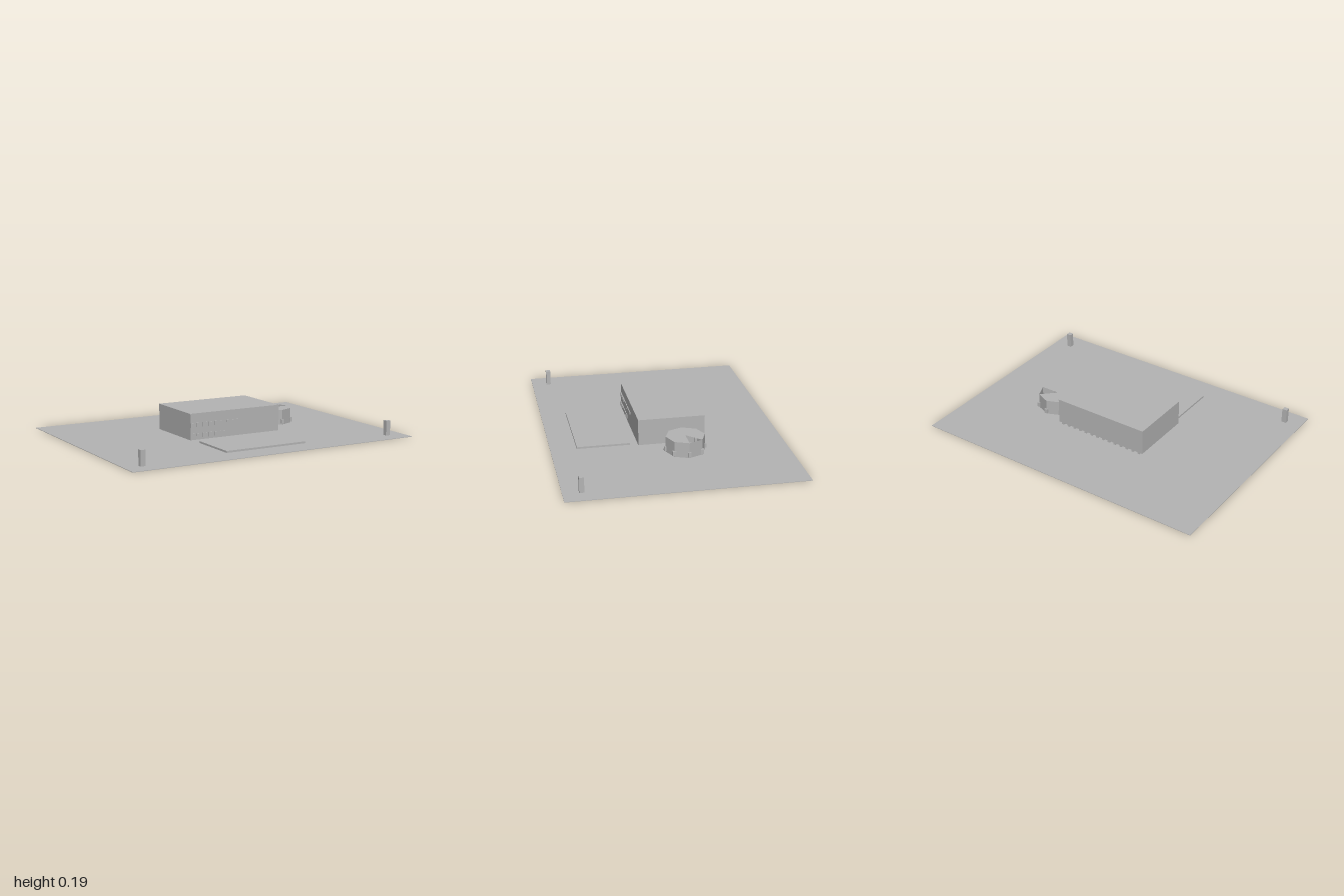
import * as THREE from 'three';

export function createModel() {
  const group = new THREE.Group();
  const grey = new THREE.MeshStandardMaterial({ color: 0xb4b4b4 });
  grey.name = 'concrete grey';
  grey.side = THREE.DoubleSide;

  const add = (name, geometry, x, y, z, parent = group) => {
    const mesh = new THREE.Mesh(geometry, grey);
    mesh.name = name;
    mesh.position.set(x, y, z);
    parent.add(mesh);
    return mesh;
  };
  // Box given by its lower and upper limits on each axis
  const box = (name, x0, x1, y0, y1, z0, z1, parent) =>
    add(name, new THREE.BoxGeometry(x1 - x0, y1 - y0, z1 - z0),
      (x0 + x1) / 2, (y0 + y1) / 2, (z0 + z1) / 2, parent);

  // Site and forecourt
  box('ground', -1, 1, 0, 0.003, -0.742, 0.742);
  box('forecourt', -0.29, 0.285, 0.003, 0.015, 0.235, 0.575);

  // Main building, raised on a row of small feet at the back
  const building = new THREE.Group();
  building.name = 'building';
  group.add(building);
  box('hall', -0.33, 0.328, 0.015, 0.185, -0.238, 0.19, building);
  for (let i = 0; i < 14; i++) {
    const x = -0.3 + i * 0.046;
    box('foot', x - 0.008, x + 0.008, 0.003, 0.015, -0.238, -0.222, building);
  }

  // Two rows of front windows and a long strip beside the upper row
  for (const y of [0.11, 0.042]) {
    for (let i = 0; i < 6; i++) {
      const x = -0.327 + i * 0.043;
      box('window', x, x + 0.031, y - 0.014, y + 0.014, 0.188, 0.195, building);
    }
  }
  box('windowStrip', -0.07, 0.04, 0.108, 0.122, 0.188, 0.195, building);

  // Eight-sided tank with one open segment in its lid
  const tank = new THREE.Group();
  tank.name = 'tank';
  tank.position.set(0.455, 0, -0.085);
  group.add(tank);
  const R = 0.125;
  const wall = new THREE.CylinderGeometry(R, R, 0.1, 8, 1, true, Math.PI / 2).toNonIndexed();
  wall.computeVertexNormals();
  add('tankWall', wall, 0, 0.065, 0, tank);
  const lid = add('tankLid', new THREE.CircleGeometry(R, 7, Math.PI / 4, Math.PI * 1.75), 0, 0.115, 0, tank);
  lid.rotation.x = -Math.PI / 2;
  const floor = add('tankFloor', new THREE.CircleGeometry(R, 8), 0, 0.015, 0, tank);
  floor.rotation.x = -Math.PI / 2;
  for (let i = 0; i < 8; i++) {
    const a = i * Math.PI / 4;
    add('tankFoot', new THREE.BoxGeometry(0.02, 0.03, 0.02),
      R * Math.cos(a), 0.038, R * Math.sin(a), tank);
  }

  // Gate posts at the front corners
  for (const side of [-1, 1]) {
    add('gatePost', new THREE.BoxGeometry(0.032, 0.1, 0.03), side * 0.885, 0.05, 0.627);
  }

  return group;
}
